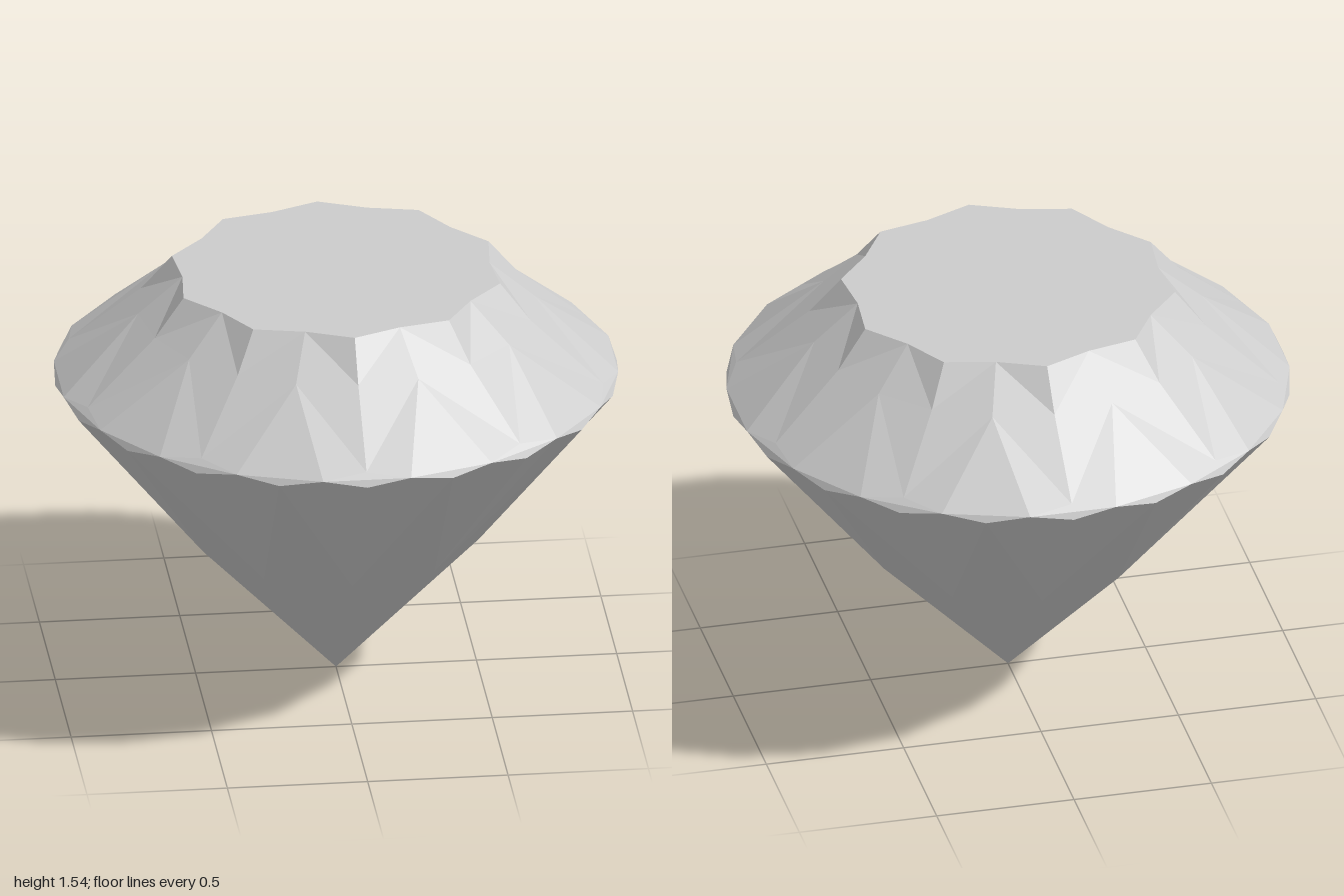
import * as THREE from 'three';

// Every ring is addressed in steps of 9 degrees, starting at the front.
const STEP = Math.PI / 20;
const ring = (r, y) => (i) =>
  new THREE.Vector3(r * Math.sin(i * STEP), y, r * Math.cos(i * STEP));

const tableTip = ring(0.593, 1.54);
const tableDent = ring(0.547, 1.54);
const mid = ring(0.705, 1.405);
const inner = ring(0.965, 1.185);
const high = ring(1, 1.165);
const low = ring(1, 1.14);
const waist = ring(0.515, 0.54);
const culet = new THREE.Vector3(0, 0, 0);
const tableCentre = new THREE.Vector3(0, 1.54, 0);
const core = new THREE.Vector3(0, 1, 0);

// Flat facets from triangles, each turned to face away from the core.
function facets(name, triangles) {
  const points = [];
  for (const [a, b, c] of triangles) {
    const normal = b.clone().sub(a).cross(c.clone().sub(a));
    const outward = normal.dot(a.clone().sub(core)) > 0;
    points.push(...(outward ? [a, b, c] : [a, c, b]));
  }
  const geometry = new THREE.BufferGeometry().setFromPoints(points);
  geometry.computeVertexNormals();
  const material = new THREE.MeshStandardMaterial({ color: 0xcccccc, flatShading: true });
  const mesh = new THREE.Mesh(geometry, material);
  mesh.name = name;
  return mesh;
}

export function createModel() {
  const table = [], crown = [], girdle = [], pavilion = [];

  // Ten sectors, each mirrored about its own middle.
  for (let k = 0; k < 10; k++) {
    const c = k * 4;
    for (const s of [1, -1]) {
      const d = c + 2 * s, h = c + s;
      table.push([tableCentre, tableTip(c), tableDent(d)]);
      // star facets around the table, then the kites running down to the rim
      crown.push(
        [tableTip(c), tableDent(d), mid(c)],
        [tableDent(d), mid(d), mid(c)],
        [mid(c), mid(d), inner(c)],
        [mid(d), inner(c), high(h)]
      );
      // long upper facets and the main facets meeting at the point
      pavilion.push(
        [waist(c), low(c), high(h)],
        [waist(c), high(h), low(d)],
        [culet, waist(c), low(d)]
      );
    }
    crown.push([inner(c), high(c - 1), high(c + 1)], [mid(c + 2), high(c + 1), high(c + 3)]);
    // scallops between the rim peaks
    girdle.push(
      [low(c), high(c - 1), high(c + 1)],
      [low(c + 2), high(c + 1), high(c + 3)]
    );
  }

  const gem = new THREE.Group();
  gem.name = 'cutGem';
  gem.add(
    facets('table', table),
    facets('crown', crown),
    facets('girdle', girdle),
    facets('pavilion', pavilion)
  );
  return gem;
}
